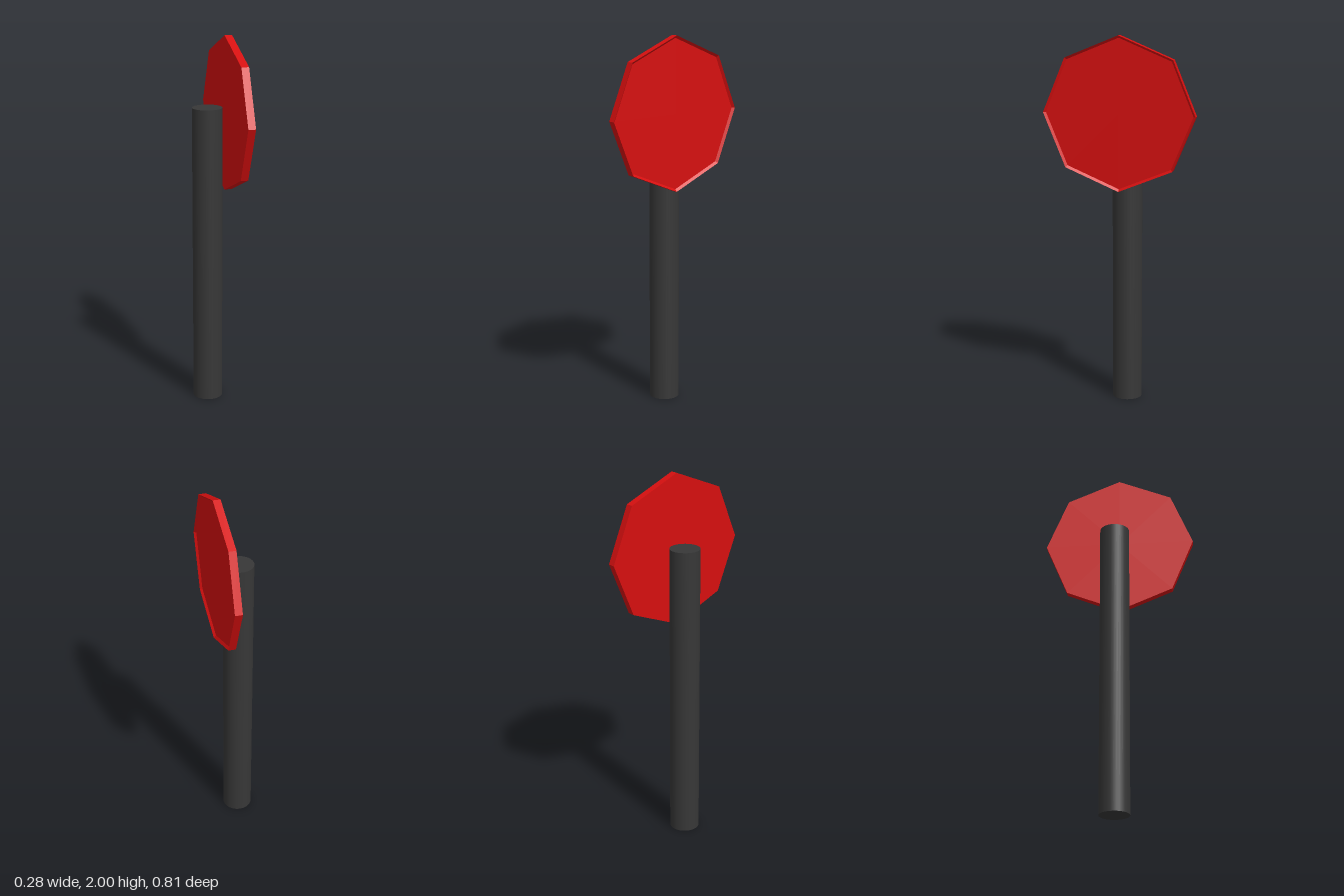
import * as THREE from 'three';

const red = new THREE.MeshStandardMaterial({ color: 0xd60f0f });
red.name = 'sign red';
const charcoal = new THREE.MeshStandardMaterial({ color: 0x373737 });
charcoal.name = 'post charcoal';

export function createModel() {
  const model = new THREE.Group();
  model.name = 'roadSign';

  // Round post
  const postHeight = 1.625;
  const post = new THREE.Mesh(new THREE.CylinderGeometry(0.08, 0.08, postHeight, 32), charcoal);
  post.name = 'post';
  post.position.set(-0.06, postHeight / 2, 0);
  model.add(post);

  // Eight-sided plate: flat back, straight rim, shallow recessed face
  const radius = 0.41, half = 0.02, inset = 0.013, recess = 0.012;
  const profile = [
    [0, -half],
    [radius, -half],
    [radius, half],
    [radius - inset, half - recess],
    [0, half - recess],
  ].map(([r, h]) => new THREE.Vector2(r, h));
  const plateGeometry = new THREE.LatheGeometry(profile, 8).toNonIndexed();
  plateGeometry.computeVertexNormals(); // crisp facets
  plateGeometry.rotateZ(-Math.PI / 2); // face towards +x

  const plate = new THREE.Mesh(plateGeometry, red);
  plate.name = 'signPlate';
  plate.position.set(0.05, 2 - radius, 0);
  plate.rotation.y = THREE.MathUtils.degToRad(10);
  model.add(plate);

  return model;
}
